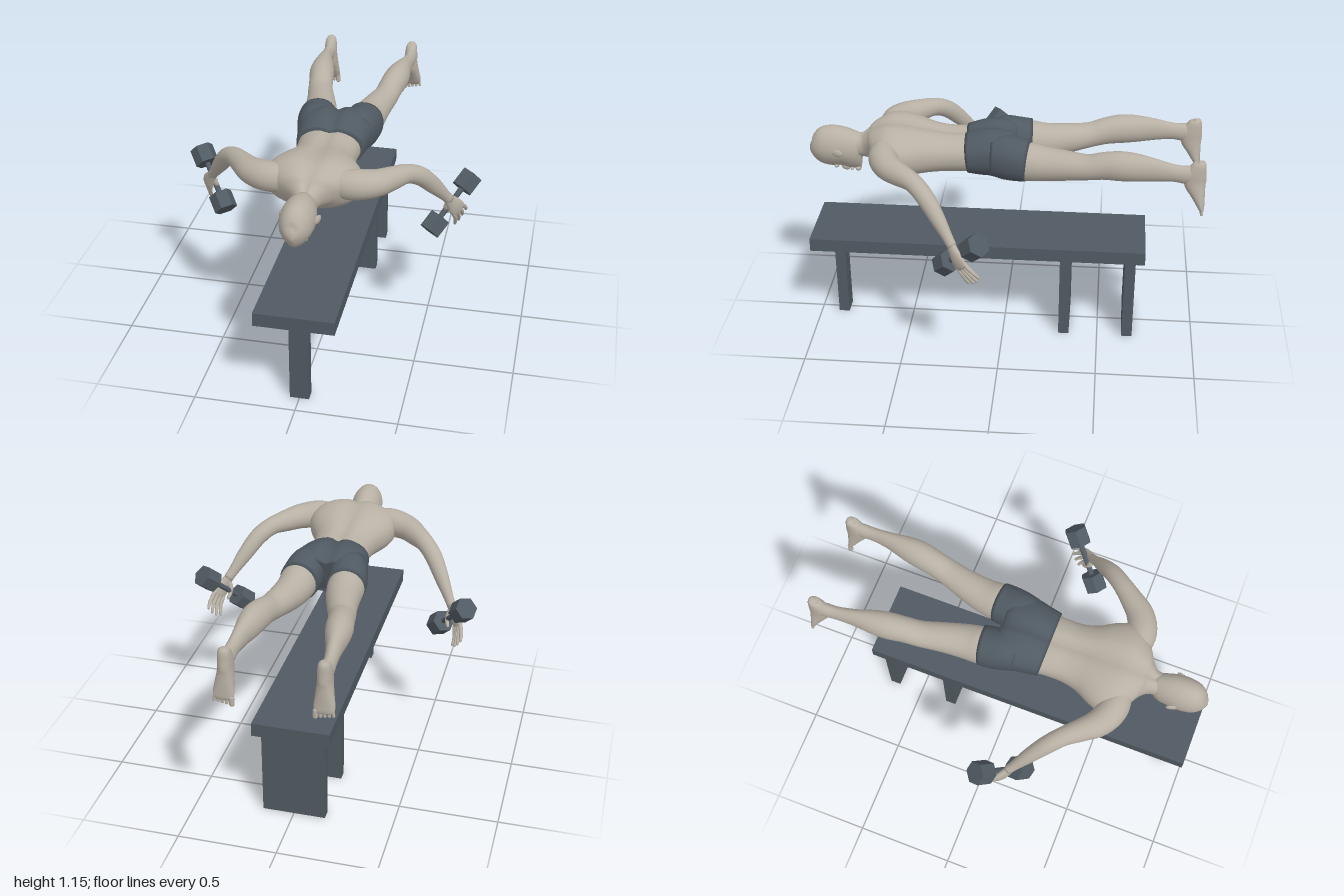
import * as THREE from 'three';

const Y = new THREE.Vector3(0, 1, 0), Z = new THREE.Vector3(0, 0, 1);
const V = (x, y, z) => new THREE.Vector3(x, y, z);

// Smooth closed loft through rings [x, y, z, halfWidth, halfHeight]; shape(c, s) adjusts the section
function loft(rings, { hint = Y, shape = (c, s) => [c, s], power = 2, sides = 28, steps = 4 } = {}) {
  const path = new THREE.CatmullRomCurve3(rings.map(r => V(r[0], r[1], r[2])), false, 'catmullrom');
  const size = new THREE.CatmullRomCurve3(rings.map(r => V(r[3], r[4] ?? r[3], 0)), false, 'catmullrom');
  const count = (rings.length - 1) * steps, pos = [], index = [];
  for (let i = 0; i <= count; i++) {
    const p = path.getPoint(i / count), t = path.getTangent(i / count), r = size.getPoint(i / count);
    const u = hint.clone().cross(t).normalize(), v = t.clone().cross(u);
    for (let j = 0; j < sides; j++) {
      const a = j / sides * Math.PI * 2, k = 2 / power;
      const bend = x => Math.sign(x) * Math.abs(x) ** k;
      const [c, s] = shape(bend(Math.cos(a)), bend(Math.sin(a)));
      const q = p.clone().addScaledVector(u, c * Math.max(r.x, 0.002)).addScaledVector(v, s * Math.max(r.y, 0.002));
      pos.push(q.x, q.y, q.z);
      if (i < count) {
        const A = i * sides + j, B = i * sides + (j + 1) % sides;
        index.push(A, B, A + sides, B, B + sides, A + sides);
      }
    }
  }
  const first = rings[0], last = rings[rings.length - 1], n = pos.length / 3, end = count * sides;
  pos.push(first[0], first[1], first[2], last[0], last[1], last[2]);
  for (let j = 0; j < sides; j++) {
    const k = (j + 1) % sides;
    index.push(n, k, j, n + 1, end + j, end + k);
  }
  const g = new THREE.BufferGeometry();
  g.setAttribute('position', new THREE.Float32BufferAttribute(pos, 3));
  g.setIndex(index);
  g.computeVertexNormals();
  return g;
}

// Ring across the body given z, half width, top and bottom heights
const band = ([z, w, top, bottom]) => [0, (top + bottom) / 2, z, w, (top - bottom) / 2];
// Groove along the middle of the upper side
const groove = (depth, width) => (c, s) => [c, s > 0 ? s * (1 - depth * Math.exp(-((c / width) ** 2))) : s];

export function createModel() {
  const model = new THREE.Group();
  const skin = new THREE.MeshStandardMaterial({ color: 0xb8b0a4 });
  skin.name = 'skin';
  const slate = new THREE.MeshStandardMaterial({ color: 0x505a62 });
  slate.name = 'slate';
  const slateFlat = slate;

  const add = (name, geometry, material, parent = model) => {
    const mesh = new THREE.Mesh(geometry, material);
    mesh.name = name;
    parent.add(mesh);
    return mesh;
  };
  const ball = (name, p, r, material, parent) => {
    const m = add(name, new THREE.SphereGeometry(1, 18, 12), material, parent);
    m.position.set(...p);
    m.scale.set(...r);
    return m;
  };

  // Bench
  const bench = new THREE.Group();
  bench.name = 'bench';
  model.add(bench);
  const box = (name, w, y0, y1, z0, z1) =>
    add(name, new THREE.BoxGeometry(w, y1 - y0, z1 - z0), slate, bench).position.set(0, (y0 + y1) / 2, (z0 + z1) / 2);
  box('benchTop', 0.39, 0.47, 0.54, -0.73, 1);
  box('benchFrontLeg', 0.095, 0, 0.47, 0.85, 0.905);
  box('benchMiddleLeg', 0.32, 0, 0.47, -0.35, -0.295);
  box('benchRearLeg', 0.32, 0, 0.47, -0.685, -0.63);

  // Torso and neck, lying face down
  add('torso', loft([
    [0.15, 0.16, 1.1, 0.912], [0.22, 0.153, 1.105, 0.905], [0.3, 0.153, 1.108, 0.9], [0.38, 0.172, 1.12, 0.893],
    [0.46, 0.215, 1.138, 0.887], [0.53, 0.235, 1.15, 0.887], [0.59, 0.222, 1.15, 0.897], [0.64, 0.17, 1.125, 0.918],
    [0.68, 0.1, 1.09, 0.935], [0.72, 0.062, 1.066, 0.943], [0.77, 0.055, 1.06, 0.945], [0.83, 0.05, 1.05, 0.95],
  ].map(band), { power: 2.2, sides: 48, shape: groove(0.16, 0.2) }), skin);

  // Head with the face towards the bench
  add('head', loft([
    [1, 0.004, 1.002, 0.99], [0.99, 0.035, 1.042, 0.945], [0.965, 0.059, 1.075, 0.908], [0.93, 0.075, 1.094, 0.887],
    [0.88, 0.082, 1.1, 0.88], [0.84, 0.08, 1.095, 0.882], [0.8, 0.073, 1.08, 0.874], [0.77, 0.065, 1.064, 0.864],
    [0.748, 0.053, 1.045, 0.866], [0.735, 0.035, 1.02, 0.888],
  ].map(band), { sides: 36, shape: (c, s) => [c * (s < 0 ? 1 - 0.28 * s * s : 1), s] }), skin);
  ball('nose', [0, 0.874, 0.82], [0.014, 0.02, 0.026], skin);
  ball('lips', [0, 0.867, 0.789], [0.024, 0.009, 0.009], skin);
  ball('chin', [0, 0.87, 0.758], [0.026, 0.016, 0.016], skin);
  ball('brow', [0, 0.89, 0.866], [0.046, 0.016, 0.014], skin);

  // Shorts around the hips
  add('shorts', loft([
    [0.186, 0.168, 1.112, 0.902], [0.12, 0.178, 1.134, 0.894], [0.06, 0.19, 1.146, 0.895], [0.01, 0.2, 1.141, 0.9],
    [-0.025, 0.2, 1.128, 0.908], [-0.04, 0.17, 1.1, 0.93],
  ].map(band), { power: 2.3, sides: 48, shape: groove(0.2, 0.14) }), slate);

  for (const s of [1, -1]) {
    const side = s > 0 ? 'left' : 'right';
    const limb = (name, rings, opts, material = skin, parent = model) =>
      add(side + name, loft(rings.map(([x, ...rest]) => [s * x, ...rest]), opts), material, parent);

    const ear = ball(side + 'Ear', [s * 0.085, 0.988, 0.846], [0.009, 0.02, 0.03], skin);
    ear.rotation.y = -s * 0.3;

    // Leg, calf fullness on the upper side
    limb('ShortsLeg', [[0.106, 1.02, 0.06, 0.085, 0.1], [0.108, 1.02, 0, 0.096, 0.113], [0.115, 1.013, -0.06, 0.1, 0.11],
      [0.121, 1.008, -0.123, 0.098, 0.104]], { power: 2.15 }, slate);
    limb('Leg', [[0.11, 1, 0, 0.085, 0.09], [0.121, 1.005, -0.11, 0.093, 0.099], [0.129, 1.001, -0.2, 0.087, 0.088],
      [0.15, 1.006, -0.31, 0.075, 0.076], [0.177, 1.016, -0.42, 0.066, 0.064], [0.191, 1.034, -0.5, 0.064, 0.069],
      [0.204, 1.043, -0.58, 0.066, 0.075], [0.213, 1.043, -0.66, 0.057, 0.071], [0.222, 1.038, -0.75, 0.039, 0.059],
      [0.229, 1.03, -0.84, 0.031, 0.045], [0.231, 1.024, -0.9, 0.032, 0.048], [0.232, 1.024, -0.955, 0.03, 0.05]]);

    // Foot hanging down, sole facing back
    const foot = new THREE.Group();
    foot.name = side + 'FootGroup';
    model.add(foot);
    limb('Foot', [[0.231, 1.1, -0.963, 0.01, 0.01], [0.231, 1.085, -0.963, 0.027, 0.03], [0.231, 1.035, -0.947, 0.034, 0.05],
      [0.231, 0.985, -0.943, 0.036, 0.054], [0.233, 0.93, -0.959, 0.043, 0.038], [0.235, 0.88, -0.974, 0.05, 0.023],
      [0.235, 0.852, -0.982, 0.048, 0.015], [0.235, 0.84, -0.984, 0.036, 0.008]], { hint: Z, power: 2.2 }, skin, foot);
    for (let i = 0; i < 5; i++) {
      const r = i ? 0.0095 - i * 0.0005 : 0.0135;
      const toe = add(side + 'Toe', new THREE.CapsuleGeometry(r, 0.03, 4, 10), skin, foot);
      toe.position.set(s * (i ? 0.2 + i * 0.0195 : 0.196), 0.836 + i * 0.003, -0.984);
      toe.rotation.z = s * (i - 1) * 0.05;
    }

    // Arm, bent at the elbow and reaching out, down and back
    limb('Arm', [[0.12, 1.04, 0.595, 0.06, 0.07], [0.21, 1.04, 0.588, 0.073, 0.074], [0.295, 1.036, 0.55, 0.068, 0.066],
      [0.36, 1.032, 0.483, 0.056, 0.058], [0.42, 1.026, 0.412, 0.047, 0.047], [0.478, 0.985, 0.348, 0.044, 0.046],
      [0.535, 0.905, 0.283, 0.036, 0.041], [0.582, 0.83, 0.23, 0.025, 0.029], [0.607, 0.79, 0.203, 0.022, 0.026]]);

    // Dumbbell with six-sided weights
    const dumbbell = new THREE.Group();
    dumbbell.name = side + 'Dumbbell';
    const axis = V(s * 0.135, 0.175, -0.15).normalize(), middle = V(s * 0.612, 0.749, 0.166);
    dumbbell.position.copy(middle);
    dumbbell.quaternion.setFromUnitVectors(Y, axis);
    model.add(dumbbell);
    add('handle', new THREE.CylinderGeometry(0.014, 0.014, 0.2, 16), slate, dumbbell);
    for (const e of [1, -1]) {
      const weight = new THREE.CylinderGeometry(0.06, 0.06, 0.09, 6).toNonIndexed();
      weight.computeVertexNormals();
      add('weight', weight, slateFlat, dumbbell).position.y = e * 0.133;
    }

    // Hand: palm over the handle, fingers spread along it
    const hand = new THREE.Group();
    hand.name = side + 'Hand';
    model.add(hand);
    const across = V(axis.x * s, axis.y, axis.z);
    limb('Palm', [[0.598, 0.805, 0.213, 0.02, 0.024], [0.617, 0.772, 0.196, 0.019, 0.033], [0.637, 0.737, 0.176, 0.017, 0.043],
      [0.65, 0.708, 0.157, 0.013, 0.043], [0.653, 0.698, 0.15, 0.008, 0.035]], { hint: V(axis.x, axis.y, axis.z) }, skin, hand);
    for (let i = 0; i < 4; i++) {
      const k = i - 1.5, long = i === 0 || i === 3 ? 0.85 : 1;
      const at = (x, y, z, spread, r) => [x + across.x * k * spread, y + across.y * k * spread, z + across.z * k * spread, r];
      limb('Finger', [at(0.646, 0.716, 0.162, 0.021, 0.011), at(0.655, 0.685, 0.137, 0.024, 0.011),
        at(0.658, 0.685 - 0.028 * long, 0.137 - 0.024 * long, 0.028, 0.0095),
        at(0.656, 0.685 - 0.056 * long, 0.137 - 0.045 * long, 0.031, 0.007),
        at(0.655, 0.685 - 0.062 * long, 0.137 - 0.049 * long, 0.031, 0.002)], { sides: 10, steps: 3 }, skin, hand);
    }
    limb('Thumb', [[0.607, 0.778, 0.2, 0.014], [0.593, 0.745, 0.197, 0.014], [0.59, 0.715, 0.18, 0.011],
      [0.598, 0.694, 0.16, 0.008], [0.601, 0.69, 0.156, 0.002]], { sides: 10, steps: 3 }, skin, hand);
  }
  return model;
}
